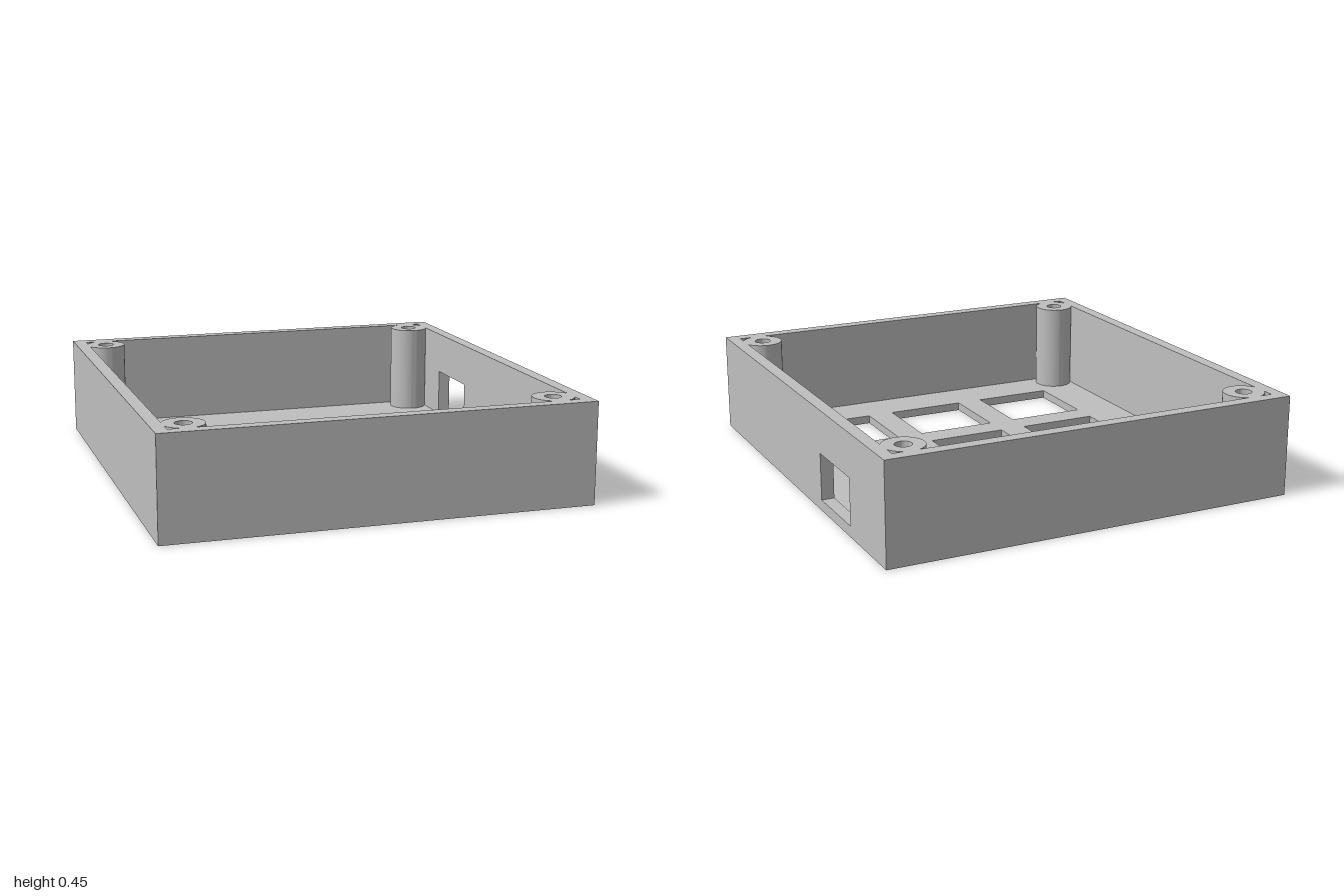
import * as THREE from 'three';
import { toCreasedNormals } from 'three/addons/utils/BufferGeometryUtils.js';

const W = 0.935, D = 1, H = 0.449;   // half width, half depth, height
const WALL = 0.057, FLOOR = 0.038;   // thicknesses
const IX = W - WALL, IZ = D - WALL;  // inner half sizes

// Rectangle outline between two corners
function rect(Type, x0, y0, x1, y1) {
  const p = new Type();
  p.moveTo(x0, y0);
  p.lineTo(x1, y0);
  p.lineTo(x1, y1);
  p.lineTo(x0, y1);
  p.closePath();
  return p;
}

// Extrude a plan shape (x, -z) upwards between two heights
function extrudeUp(shape, y0, y1) {
  const g = new THREE.ExtrudeGeometry(shape, { depth: y1 - y0, bevelEnabled: false, curveSegments: 32 });
  return g.rotateX(-Math.PI / 2).translate(0, y0, 0);
}

export function createModel() {
  const group = new THREE.Group();
  const grey = new THREE.MeshStandardMaterial({ color: 0xbfbfbf });
  grey.name = 'grey plastic';

  function add(name, geometry) {
    const mesh = new THREE.Mesh(geometry, grey);
    mesh.name = name;
    group.add(mesh);
    return mesh;
  }

  // Floor with a 3 x 2 grid of square button openings
  const floor = rect(THREE.Shape, -W, -D, W, D);
  const half = 0.183;
  for (const x of [-0.488, 0, 0.488]) {
    for (const z of [0.061, 0.549]) {
      floor.holes.push(rect(THREE.Path, x - half, -z - half, x + half, -z + half));
    }
  }
  add('floor', extrudeUp(floor, 0, FLOOR));

  // Front, right and back walls as one U-shaped piece
  const u = new THREE.Shape([
    [IX, -D], [IX, -IZ], [-IX, -IZ], [-IX, IZ], [IX, IZ], [IX, D], [-W, D], [-W, -D],
  ].map(([x, y]) => new THREE.Vector2(x, y)));
  add('frontBackAndRightWalls', extrudeUp(u, FLOOR, H));

  // Left (+x) wall with the cable opening
  const side = rect(THREE.Shape, -D, FLOOR, D, H);
  side.holes.push(rect(THREE.Path, 0.294, 0.048, 0.626, 0.256));
  const sideGeometry = new THREE.ExtrudeGeometry(side, { depth: WALL, bevelEnabled: false });
  add('leftWall', sideGeometry.rotateY(Math.PI / 2).translate(IX, 0, 0));

  // Hollow screw posts in the corners
  const ring = new THREE.Shape().absarc(0, 0, 0.09, 0, Math.PI * 2);
  ring.holes.push(new THREE.Path().absarc(0, 0, 0.036, 0, Math.PI * 2));
  const post = toCreasedNormals(extrudeUp(ring, FLOOR, H), 0.6);
  for (const x of [-0.795, 0.795]) {
    for (const z of [-0.858, 0.858]) {
      add('screwPost', post).position.set(x, 0, z);
    }
  }
  return group;
}
